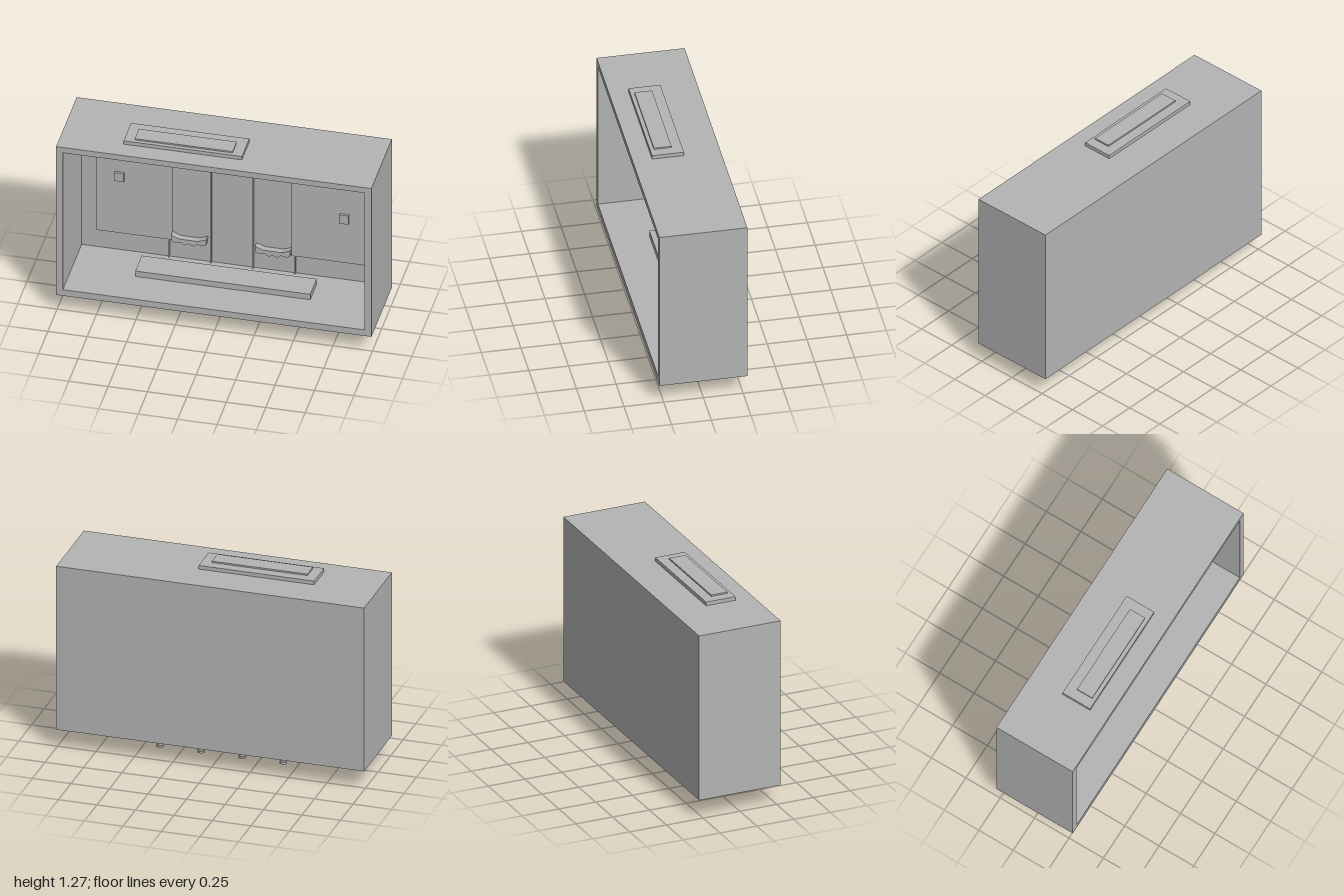
import * as THREE from 'three';

export function createModel() {
  const model = new THREE.Group();
  model.name = 'cabinet';
  const grey = new THREE.MeshStandardMaterial({ color: 0xb4b4b4 });
  grey.name = 'plain grey';

  const add = (name, geometry, x = 0, y = 0, z = 0) => {
    const mesh = new THREE.Mesh(geometry, grey);
    mesh.name = name;
    mesh.position.set(x, y, z);
    model.add(mesh);
    return mesh;
  };
  // Box given by its limits on each axis
  const block = (name, x0, x1, y0, y1, z0, z1) =>
    add(name, new THREE.BoxGeometry(x1 - x0, y1 - y0, z1 - z0),
      (x0 + x1) / 2, (y0 + y1) / 2, (z0 + z1) / 2);

  // Open-fronted case: a frame with a rectangular hole, closed by a back wall
  const wall = -0.232;
  const rect = (T, x, y0, y1) => {
    const s = new T();
    s.moveTo(-x, y0);
    s.lineTo(x, y0);
    s.lineTo(x, y1);
    s.lineTo(-x, y1);
    s.closePath();
    return s;
  };
  const frame = rect(THREE.Shape, 1, 0.125, 1.235);
  frame.holes.push(rect(THREE.Path, 0.957, 0.17, 1.195));
  add('caseFrame', new THREE.ExtrudeGeometry(frame, { depth: 0.554, bevelEnabled: false }), 0, 0, -0.277);
  block('backWall', -0.957, 0.957, 0.17, 1.195, -0.277, wall);

  // Stepped plate on the lid
  block('topPlate', -0.6, 0.15, 1.235, 1.26, -0.045, 0.155);
  block('topInset', -0.535, 0.085, 1.26, 1.27, 0.02, 0.13);

  // Base block passing through the floor
  block('baseBlock', -0.555, 0.555, 0.08, 0.21, -0.14, 0.033);

  // Interior panels with a small block on each
  block('rightPanel', -0.865, -0.38, 0.3, 1.055, wall, wall + 0.009);
  block('leftPanel', 0.375, 0.862, 0.3, 1.055, wall, wall + 0.009);
  block('rightKnob', -0.745, -0.685, 0.695, 0.757, wall, wall + 0.025);
  block('leftKnob', 0.68, 0.74, 0.6, 0.665, wall, wall + 0.025);
  add('ring', new THREE.TorusGeometry(0.037, 0.004, 8, 24), -0.513, 0.902, wall + 0.013);

  // Upright strips on the back wall and feet under the base
  for (const x of [-0.402, -0.136, 0.131, 0.397]) {
    block('strip', x - 0.005, x + 0.005, 0.17, 0.902, wall, wall + 0.015);
    add('footPost', new THREE.CylinderGeometry(0.017, 0.017, 0.08, 16), x, 0.04, -0.053);
    add('footPad', new THREE.CylinderGeometry(0.024, 0.024, 0.012, 16), x, 0.006, -0.053);
  }

  // Wavy ornaments, symmetrical about their own middle
  const half = [[0.112, 0.357], [0.088, 0.347], [0.058, 0.336], [0, 0.336]];
  const under = [[0, 0.309], [0.018, 0.296], [0.034, 0.296], [0.05, 0.312], [0.088, 0.305], [0.108, 0.313]];
  const side = [...under, ...half.slice(0, -1)];
  const outline = [...side, ...side.slice().reverse().map(([x, y]) => [-x, y])];
  const ornament = new THREE.ExtrudeGeometry(
    new THREE.Shape(outline.slice(0, -1).map(([x, y]) => new THREE.Vector2(x, y))),
    { depth: 0.042, bevelEnabled: false });
  for (const x of [-0.268, 0.264]) add('ornament', ornament, x, 0, wall);

  return model;
}
